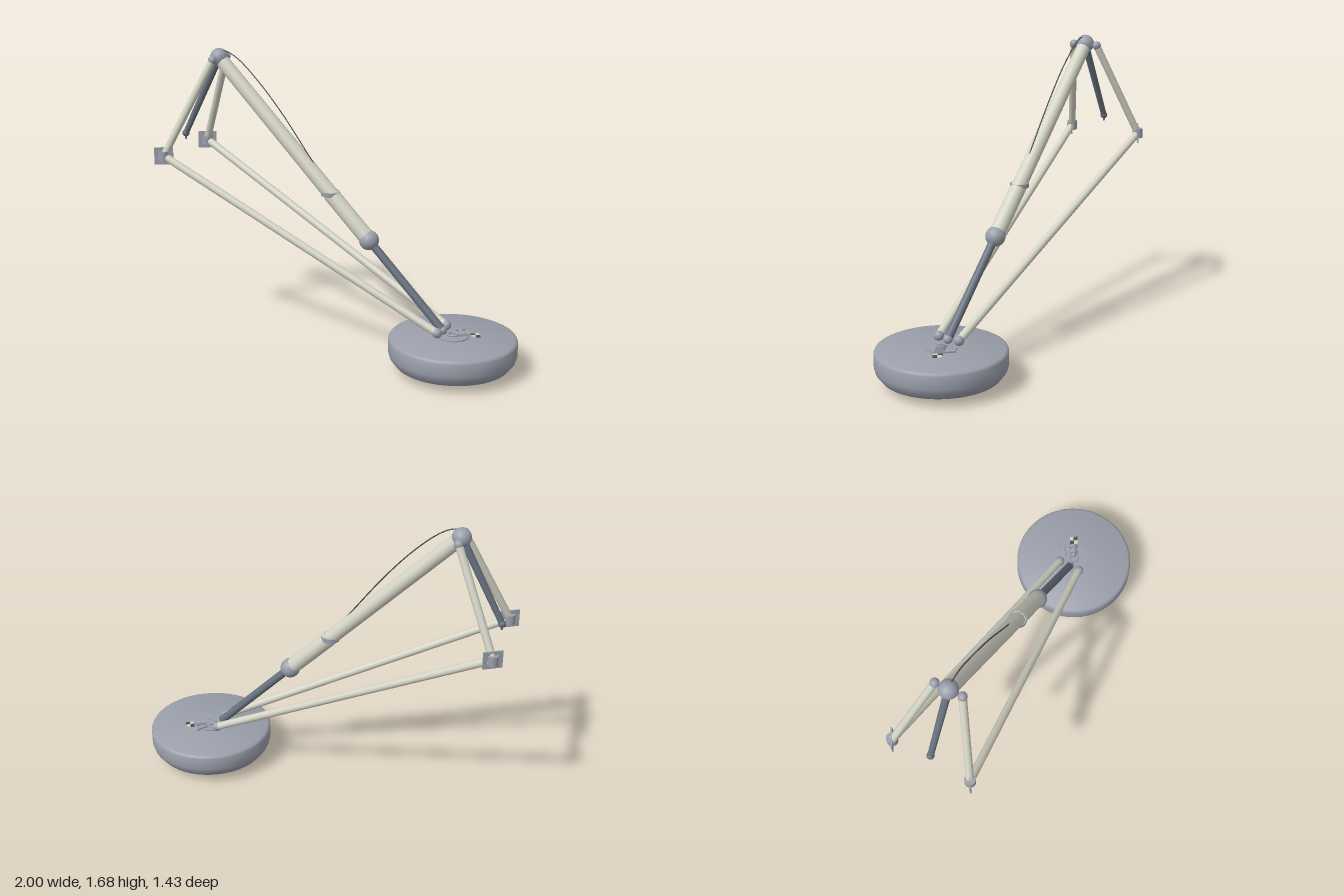
import * as THREE from 'three';
import { toCreasedNormals } from 'three/addons/utils/BufferGeometryUtils.js';

const V = (x, y, z) => new THREE.Vector3(x, y, z);

export function createModel() {
  const model = new THREE.Group();
  model.name = 'landingLeg';
  const mat = (name, color) => {
    const m = new THREE.MeshStandardMaterial({ color });
    m.name = name;
    return m;
  };
  const grey = mat('metal grey', 0x9a9fab);
  const cream = mat('strut cream', 0xd3d3c5);
  const steel = mat('dark steel', 0x67717e);
  const black = mat('cable dark', 0x4b4e50);

  const add = (name, geometry, material, p = V(0, 0, 0)) => {
    const m = new THREE.Mesh(geometry, material);
    m.name = name;
    m.position.copy(p);
    model.add(m);
    return m;
  };
  const ball = (name, p, r, material = grey) =>
    add(name, new THREE.SphereGeometry(r, 24, 16), material, p);
  // Cylinder spanning two points
  const rod = (name, a, b, r, material, r2 = r) => {
    const d = b.clone().sub(a);
    const m = add(name, new THREE.CylinderGeometry(r2, r, d.length(), 24), material,
      a.clone().add(b).multiplyScalar(0.5));
    m.quaternion.setFromUnitVectors(V(0, 1, 0), d.normalize());
    return m;
  };

  // Foot pad
  const profile = [[0, 0], [0.2, 0.003], [0.32, 0.048], [0.348, 0.085], [0.355, 0.11],
    [0.355, 0.182], [0.35, 0.192], [0.338, 0.198], [0, 0.2]];
  const pad = new THREE.LatheGeometry(profile.map(([x, y]) => new THREE.Vector2(x, y)), 64);
  const foot = V(0.645, 0, 0.36);
  add('footPad', toCreasedNormals(pad, 0.85), grey, foot);

  // Main telescopic strut
  const top = V(-0.62, 1.633, -0.365);
  const elbow = V(0.2, 0.68, 0.108);
  const ankle = V(0.59, 0.225, 0.332);
  const collar = V(-0.008, 0.92, -0.012);
  rod('upperMainStrut', collar, top, 0.042, cream, 0.04);
  rod('lowerMainStrut', elbow, collar, 0.045, cream);
  rod('piston', ankle, elbow, 0.023, steel);
  ball('topBall', top, 0.052);
  ball('elbowBall', elbow, 0.056);
  ball('ankleBall', ankle, 0.026);
  add('collar', new THREE.CylinderGeometry(0.052, 0.052, 0.024, 32), grey, collar);

  // Paired side struts with knee brackets
  const sides = [
    { foot: V(0.553, 0.23, 0.385), knee: V(-0.948, 1.08, -0.288), head: V(-0.657, 1.627, -0.298) },
    { foot: V(0.62, 0.23, 0.27), knee: V(-0.715, 1.08, -0.69), head: V(-0.583, 1.627, -0.432) },
  ];
  for (const s of sides) {
    rod('longSideStrut', s.foot, s.knee, 0.022, cream);
    rod('shortSideStrut', s.knee, s.head, 0.021, cream);
    ball('footJoint', s.foot, 0.028);
    ball('headJoint', s.head, 0.025);
    add('kneeDrum', new THREE.CylinderGeometry(0.03, 0.03, 0.056, 24), grey, s.knee);
    add('kneePlate', new THREE.BoxGeometry(0.108, 0.1, 0.007), grey, s.knee);
  }

  // Hanging contact probe
  const probeEnd = V(-0.83, 1.168, -0.485);
  rod('probe', probeEnd, top, 0.017, steel, 0.021);
  ball('probeBall', probeEnd, 0.021, steel);
  rod('probeTip', probeEnd.clone().add(V(0, -0.035, 0)), probeEnd, 0.006, steel);

  // Cable arching above the main strut
  const cable = new THREE.CatmullRomCurve3([
    V(-0.62, 1.675, -0.363), V(-0.575, 1.67, -0.335), V(-0.51, 1.63, -0.3), V(-0.4, 1.515, -0.236),
    V(-0.27, 1.345, -0.163), V(-0.13, 1.13, -0.082), V(0, 0.93, -0.01)]);
  add('cable', new THREE.TubeGeometry(cable, 48, 0.0035, 6), black);

  // Fittings on top of the pad
  add('padDisc', new THREE.CylinderGeometry(0.088, 0.088, 0.008, 40), grey, V(0.645, 0.202, 0.36));
  const ring = add('padRing', new THREE.TorusGeometry(0.026, 0.006, 8, 24), grey, V(0.645, 0.21, 0.36));
  ring.rotation.x = Math.PI / 2;
  rod('hub', V(0.655, 0.212, 0.36), V(0.735, 0.212, 0.36), 0.014, grey);
  for (const x of [0.685, 0.722]) {
    rod('hubFlange', V(x - 0.009, 0.212, 0.36), V(x + 0.009, 0.212, 0.36), 0.026, grey);
  }
  rod('crankArm', V(0.67, 0.215, 0.31), V(0.73, 0.215, 0.292), 0.007, grey);
  rod('crankHandle', V(0.73, 0.215, 0.275), V(0.733, 0.215, 0.31), 0.007, grey);

  // Checkered calibration target
  for (let i = 0; i < 2; i++) {
    for (let j = 0; j < 2; j++) {
      add('targetSquare', new THREE.BoxGeometry(0.024, 0.006, 0.024),
        (i + j) % 2 ? cream : black, V(0.757 + i * 0.024, 0.203, 0.353 + j * 0.024));
    }
  }
  return model;
}
